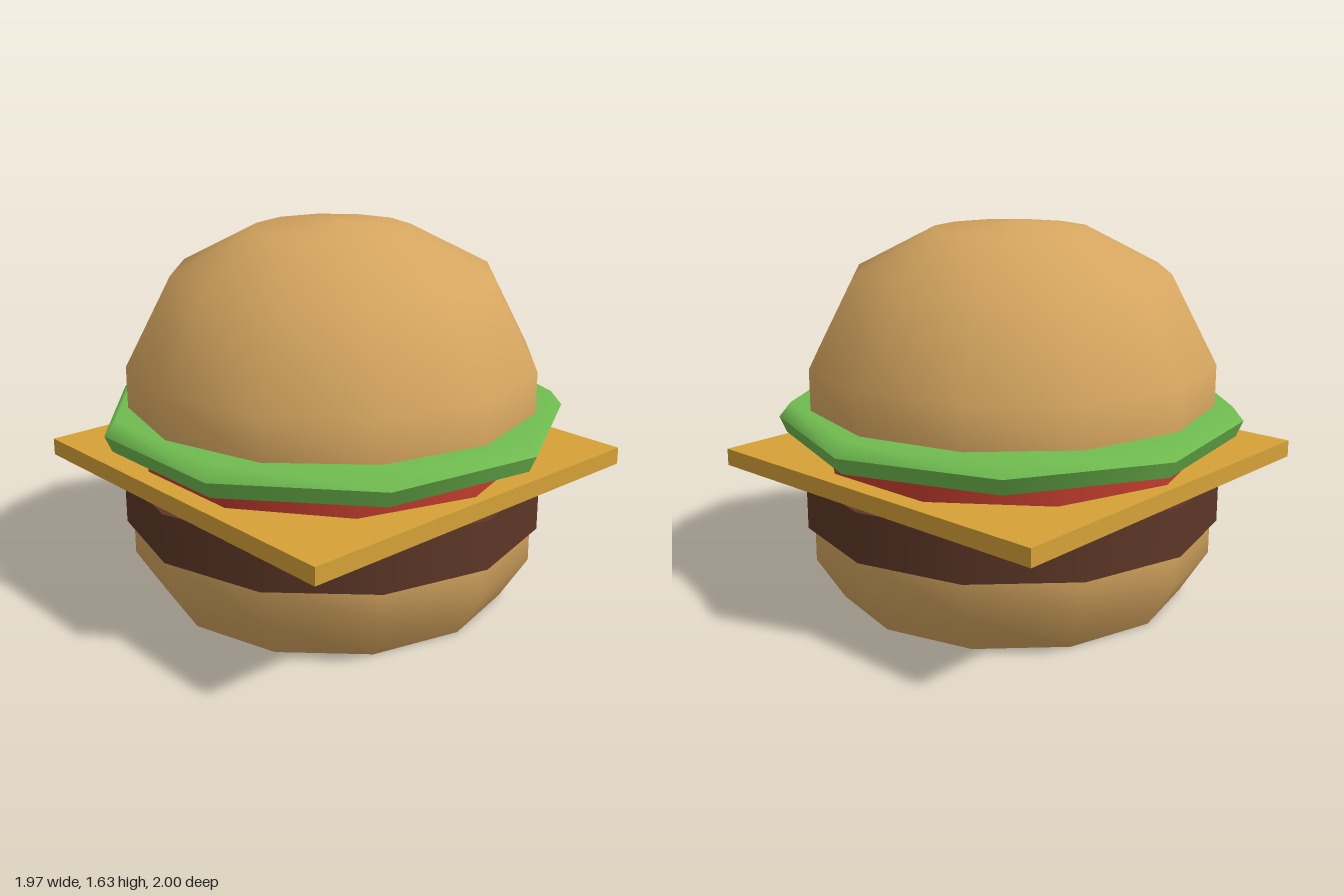
import * as THREE from 'three';

const paint = (name, color) => {
  const m = new THREE.MeshStandardMaterial({ color });
  m.name = name;
  return m;
};

export function createModel() {
  const group = new THREE.Group();
  group.name = 'burger';
  const bun = paint('bun', 0xd6a660);
  const meat = paint('meat', 0x5e3727);
  const cheese = paint('cheese', 0xd6a238);
  const tomato = paint('tomato', 0xc23c2e);
  const lettuce = paint('lettuce', 0x70bc50);

  const add = (name, geometry, material, y = 0) => {
    const mesh = new THREE.Mesh(geometry, material);
    mesh.name = name;
    mesh.position.set(-0.033, y, 0);
    group.add(mesh);
  };
  // Profile of [radius, height]; a repeated point makes a sharp edge
  const turn = (points, sides, start = 0) =>
    new THREE.LatheGeometry(points.map(([r, y]) => new THREE.Vector2(r, y)), sides, start);

  // Bottom bun with a bevelled foot
  add('bottomBun', turn([
    [0, 0], [0.77, 0], [0.77, 0], [0.89, 0.19], [0.89, 0.34], [0.89, 0.34], [0, 0.34],
  ], 12), bun);

  // Layers of filling
  add('patty', new THREE.CylinderGeometry(0.92, 0.92, 0.215, 12), meat, 0.448);
  add('cheeseSlice', new THREE.BoxGeometry(1.78, 0.075, 1.78), cheese, 0.5935);
  add('tomatoSlice', new THREE.CylinderGeometry(0.845, 0.845, 0.1, 10), tomato, 0.68);

  // Nine-sided lettuce leaf, widest at mid height
  add('lettuceLeaf', turn([
    [0, 0.73], [0.985, 0.73], [0.985, 0.73], [1.015, 0.8], [1.015, 0.8], [0.965, 0.862], [0, 0.862],
  ], 9, Math.PI / 2), lettuce);

  // Domed top bun
  add('topBun', turn([
    [0, 0.85], [0.89, 0.85], [0.89, 0.85], [0.89, 1.04], [0.69, 1.42], [0.34, 1.6], [0, 1.63],
  ], 12), bun);

  return group;
}
